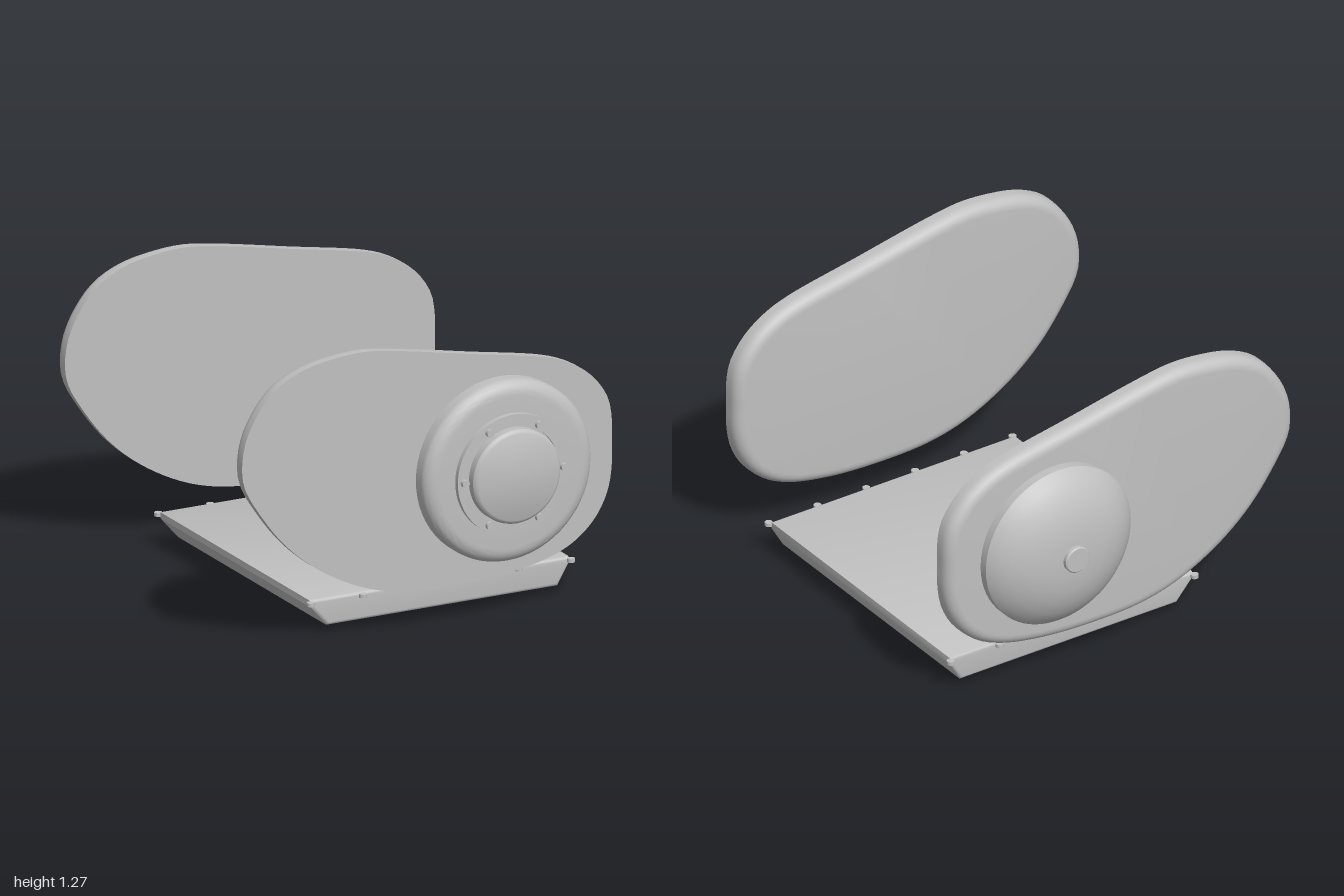
import * as THREE from 'three';
import { toCreasedNormals } from 'three/addons/utils/BufferGeometryUtils.js';

const CX = 0.345, CY = 0.662; // shared axis of both round covers

// Side panel outline, counter-clockwise
const OUTLINE = [
  [-0.88, 0.83], [-0.865, 0.75], [-0.80, 0.636], [-0.675, 0.475], [-0.51, 0.338], [-0.30, 0.23],
  [-0.11, 0.183], [0.125, 0.172], [0.385, 0.187], [0.595, 0.23], [0.71, 0.285], [0.80, 0.37],
  [0.855, 0.475], [0.875, 0.585], [0.876, 0.69], [0.875, 0.795], [0.855, 0.89], [0.785, 0.99],
  [0.69, 1.06], [0.58, 1.105], [0.21, 1.18], [-0.16, 1.252], [-0.30, 1.27], [-0.44, 1.263],
  [-0.595, 1.232], [-0.72, 1.168], [-0.81, 1.065], [-0.865, 0.95],
];

// Plate with a sharp front edge and a rounded back edge
function panelGeometry(zFront, zBack, radius) {
  const curve = new THREE.CatmullRomCurve3(OUTLINE.map(([x, y]) => new THREE.Vector3(x, y, 0)), true);
  const n = 112, steps = 6, rings = [[0, zFront]];
  for (let i = 0; i <= steps; i++) {
    const a = (i / steps) * Math.PI / 2;
    rings.push([radius * (1 - Math.cos(a)), zBack + radius * (1 - Math.sin(a))]);
  }
  const pos = [], index = [], base = [];
  for (const [inset, z] of rings) {
    for (let j = 0; j < n; j++) {
      const p = curve.getPointAt(j / n), t = curve.getTangentAt(j / n);
      pos.push(p.x - t.y * inset, p.y + t.x * inset, z);
      if (base.length < n) base.push(new THREE.Vector2(p.x, p.y));
    }
  }
  for (let k = 0; k < rings.length - 1; k++) {
    for (let j = 0; j < n; j++) {
      const a = k * n + j, b = k * n + (j + 1) % n;
      index.push(a, a + n, b, b, a + n, b + n);
    }
  }
  const last = (rings.length - 1) * n;
  for (const [a, b, c] of THREE.ShapeUtils.triangulateShape(base, [])) {
    index.push(a, b, c, last + a, last + c, last + b);
  }
  const g = new THREE.BufferGeometry();
  g.setAttribute('position', new THREE.Float32BufferAttribute(pos, 3));
  g.setIndex(index);
  return toCreasedNormals(g, 0.6);
}

// Turned part along z; profile holds [radius, z] from the base to the tip
function turned(profile, facing) {
  const g = new THREE.LatheGeometry(profile.map(([r, z]) => new THREE.Vector2(r, z * facing)), 64);
  g.rotateX(facing * Math.PI / 2);
  return toCreasedNormals(g, 0.55);
}

export function createModel() {
  const model = new THREE.Group();
  const metal = new THREE.MeshStandardMaterial({ color: 0xc0c0c0 });
  metal.name = 'light grey metal';
  const add = (name, geometry, x = 0, y = 0, z = 0) => {
    const mesh = new THREE.Mesh(geometry, metal);
    mesh.name = name;
    mesh.position.set(x, y, z);
    model.add(mesh);
    return mesh;
  };

  // Two matching side panels
  add('frontPanel', panelGeometry(0.836, 0.753, 0.05));
  add('backPanel', panelGeometry(-0.73, -0.813, 0.05));

  // Front cover: rounded drum, bolt flange and centre cap
  const drum = [[0.4, 0.83]];
  for (let i = 0; i <= 10; i++) {
    const a = (i / 10) * Math.PI / 2;
    drum.push([0.335 + 0.065 * Math.cos(a), 0.88 + 0.05 * Math.sin(a)]);
  }
  drum.push([0.26, 0.933], [0, 0.933]);
  add('frontCover', turned(drum, 1), CX, CY);
  add('boltFlange', turned([[0.265, 0.92], [0.265, 0.956], [0.215, 0.957], [0.215, 0.945], [0, 0.945]], 1), CX, CY);
  add('centreCap', turned([[0.207, 0.94], [0.207, 0.982], [0.2, 0.993], [0.19, 0.998], [0, 1.0]], 1), CX, CY);
  const bolt = new THREE.CylinderGeometry(0.017, 0.017, 0.03, 16).rotateX(Math.PI / 2);
  for (let i = 0; i < 6; i++) {
    const a = i * Math.PI / 3;
    add('flangeBolt', bolt, CX + 0.235 * Math.cos(a), CY + 0.235 * Math.sin(a), 0.96);
  }

  // Back cover: rimmed dome with a small hub
  add('backDome', turned([
    [0.367, -0.80], [0.367, -0.852], [0.36, -0.862], [0.33, -0.893], [0.285, -0.925], [0.225, -0.952],
    [0.155, -0.971], [0.08, -0.978], [0, -0.98],
  ], -1), CX, CY);
  add('backHub', turned([[0.06, -0.96], [0.06, -0.995], [0.055, -1.0], [0, -1.0]], -1), CX, CY);

  // Bottom pan: slanted ends, softly rounded edges
  const r = 0.014;
  const section = new THREE.Shape([
    [-0.39 + r / 2, 0.03 + r], [0.705 - r / 2, 0.03 + r], [0.76 - r, 0.125], [0.76 - r, 0.152 - r],
    [-0.472 + r, 0.152 - r], [-0.472 + r, 0.13],
  ].map(([x, y]) => new THREE.Vector2(x, y)));
  const pan = new THREE.ExtrudeGeometry(section, {
    depth: 1.334 - 2 * r, bevelSize: r, bevelThickness: r, bevelSegments: 4, curveSegments: 1,
  });
  add('bottomPan', toCreasedNormals(pan, 0.6), 0, 0, -0.658 + r);

  // Pan bolts along both long edges
  const peg = new THREE.CylinderGeometry(0.017, 0.017, 0.016, 16);
  for (const z of [-0.666, 0.684]) {
    for (let i = 0; i < 6; i++) add('panBolt', peg, -0.472 + i * 0.247, 0.139, z);
  }

  // Hexagonal drain plug
  const plug = new THREE.CylinderGeometry(0.036, 0.036, 0.04, 6).rotateY(Math.PI / 6);
  add('drainPlug', toCreasedNormals(plug, 0.5), 0.147, 0.02, 0.011);

  return model;
}
